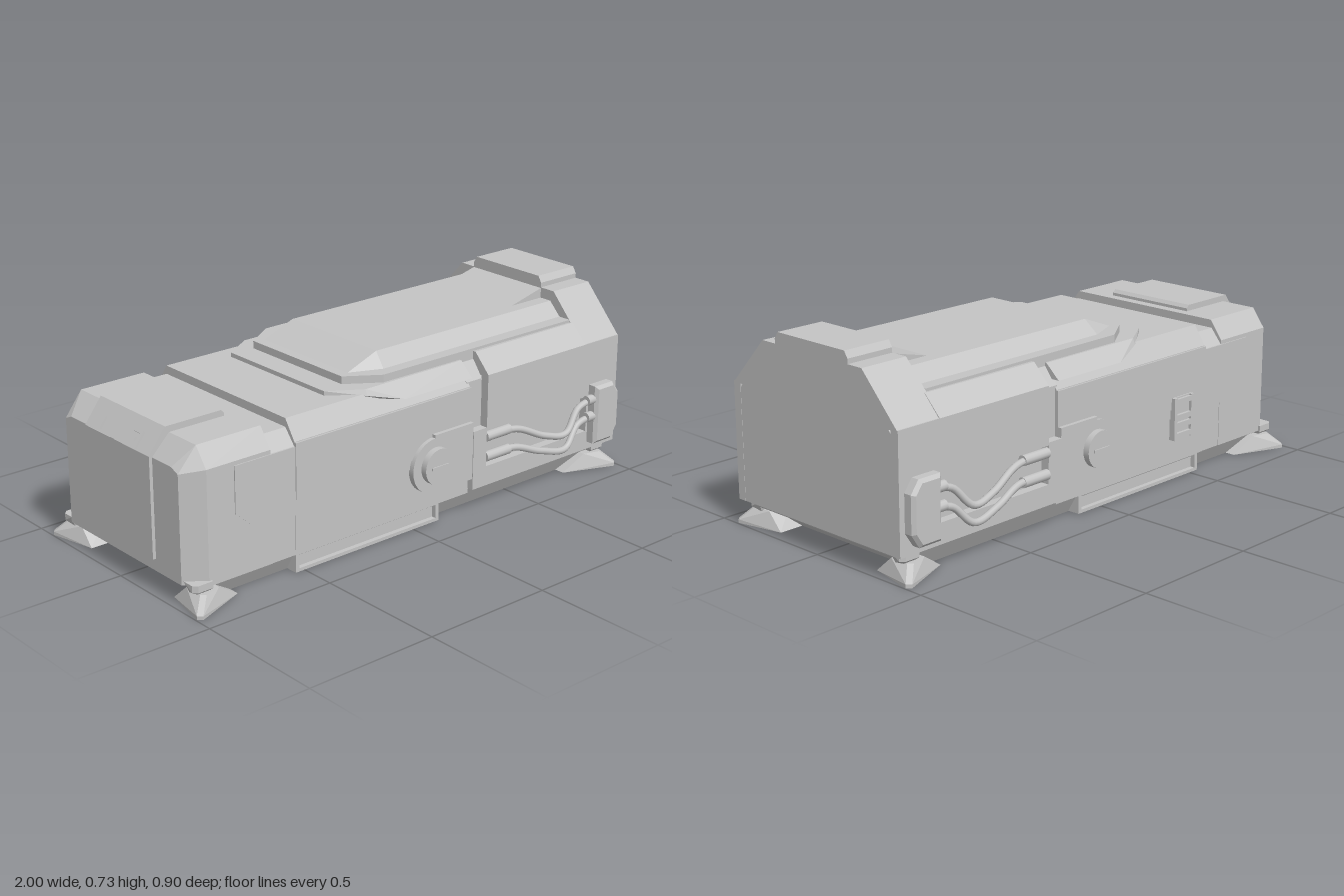
import * as THREE from 'three';
import { ConvexGeometry } from 'three/addons/geometries/ConvexGeometry.js';

export function createModel() {
  const root = new THREE.Group();
  const grey = new THREE.MeshStandardMaterial({ color: 0xc4c4c4 });
  grey.name = 'light grey';

  function add(name, geometry, x = 0, y = 0, z = 0) {
    const mesh = new THREE.Mesh(geometry, grey);
    mesh.name = name;
    mesh.position.set(x, y, z);
    root.add(mesh);
    return mesh;
  }
  const box = (name, x0, x1, y0, y1, z0, z1) =>
    add(name, new THREE.BoxGeometry(x1 - x0, y1 - y0, z1 - z0), (x0 + x1) / 2, (y0 + y1) / 2, (z0 + z1) / 2);

  // Convex solid from points [x, y, z], mirrored across z
  const hull = (name, points) =>
    add(name, new ConvexGeometry(points.flatMap(([x, y, z]) => [new THREE.Vector3(x, y, z), new THREE.Vector3(x, y, -z)])));

  // Cross-section with chamfered shoulders
  const section = (x, yb, w, ys, wt, yt) => [[x, yb, w], [x, ys, w], [x, yt, wt]];

  // Outline in x-y, extruded outward on both long sides
  const outline = (points) => new THREE.Shape(points.map(([x, y]) => new THREE.Vector2(x, y)));
  function sidePlates(name, shape, z0, z1, bevel = 0) {
    const depth = z1 - z0 - bevel;
    for (const s of [1, -1]) {
      const g = new THREE.ExtrudeGeometry(shape, {
        depth, bevelEnabled: bevel > 0, bevelThickness: bevel, bevelSize: bevel,
        bevelOffset: -bevel, bevelSegments: 1, curveSegments: 24,
      });
      add(name, g, 0, 0, s > 0 ? z0 : -z0 - depth);
    }
  }

  // Base with sloping sides
  hull('base', [[-0.95, 0.085, 0.37], [0.96, 0.085, 0.37], [-0.85, 0, 0.32], [0.86, 0, 0.32]]);
  hull('rearUnderside', [[0.25, 0.075, 0.36], [0.97, 0.075, 0.36], [0.25, 0.1, 0.38], [0.985, 0.1, 0.38]]);

  // Framed skirt boxes in the middle of the base
  box('skirtBox', -0.54, 0.12, 0.002, 0.08, -0.352, 0.352);
  for (const s of [1, -1]) {
    const a = s > 0 ? 0.35 : -0.37, b = a + 0.02;
    box('skirtRim', -0.54, 0.12, 0.066, 0.08, a, b);
    box('skirtRim', -0.54, 0.12, 0.002, 0.014, a, b);
    box('skirtRim', -0.54, -0.525, 0.014, 0.066, a, b);
    box('skirtRim', 0.105, 0.12, 0.014, 0.066, a, b);
  }

  // Splayed feet and the blocks above them
  for (const sx of [1, -1]) for (const sz of [1, -1]) {
    const foot = [
      [0.995, 0, 0.425], [0.98, 0, 0.44], [0.78, 0, 0.36], [0.955, 0, 0.245], [0.78, 0, 0.245],
      [0.995, 0.013, 0.425], [0.98, 0.013, 0.44],
      [0.95, 0.06, 0.31], [0.95, 0.06, 0.385], [0.935, 0.06, 0.4], [0.87, 0.06, 0.38], [0.87, 0.06, 0.3],
    ];
    add('foot', new ConvexGeometry(foot.map(([x, y, z]) => new THREE.Vector3(sx * x, y, sz * z))));
    const block = [
      [0.9, 0.095, 0.33], [0.975, 0.095, 0.33], [0.975, 0.095, 0.375], [0.96, 0.095, 0.39], [0.9, 0.095, 0.39],
      [0.975, 0.07, 0.375], [0.96, 0.07, 0.39], [0.9, 0.07, 0.39],
      [0.91, 0.055, 0.34], [0.96, 0.055, 0.34], [0.95, 0.055, 0.372], [0.91, 0.055, 0.372],
    ];
    add('footBlock', new ConvexGeometry(block.map(([x, y, z]) => new THREE.Vector3(sx * x, y, sz * z))));
  }

  // Body: nose, groove, middle and rear core
  hull('nose', [
    ...section(-0.98, 0.08, 0.325, 0.47, 0.29, 0.485),
    ...section(-0.91, 0.075, 0.382, 0.485, 0.33, 0.555),
    ...section(-0.65, 0.075, 0.382, 0.485, 0.33, 0.555),
  ]);
  hull('bodyGroove', [...section(-0.66, 0.075, 0.38, 0.47, 0.335, 0.525), ...section(-0.54, 0.075, 0.38, 0.47, 0.335, 0.525)]);
  hull('middleBody', [...section(-0.55, 0.075, 0.382, 0.485, 0.335, 0.556), ...section(0.25, 0.075, 0.382, 0.485, 0.335, 0.556)]);
  hull('rearCore', [...section(0.24, 0.095, 0.375, 0.5, 0.33, 0.56), ...section(0.999, 0.095, 0.375, 0.5, 0.33, 0.56)]);

  // Stepped side panels
  sidePlates('lowerSidePanel', outline([[-0.8, 0.47], [-0.8, 0.3], [-0.735, 0.245], [0.25, 0.245], [0.25, 0.47]]), 0.37, 0.386);
  sidePlates('upperSidePanel', outline([[-0.55, 0.483], [-0.55, 0.28], [0.25, 0.28], [0.25, 0.483]]), 0.37, 0.39);

  // Rear shell sides with a cable recess
  const shell = outline([[0.25, 0.095], [1, 0.095], [1, 0.52], [0.315, 0.52], [0.315, 0.32], [0.25, 0.32]]);
  shell.holes.push(outline([[0.315, 0.17], [0.315, 0.31], [0.84, 0.31], [0.84, 0.17]]));
  sidePlates('rearShellSide', shell, 0.374, 0.408);

  // Rear shoulders and the taller end hump
  hull('rearShoulder', [[0.315, 0.51, 0.408], [0.315, 0.52, 0.408], [0.315, 0.59, 0.34],
    [0.82, 0.51, 0.408], [0.82, 0.52, 0.408], [0.82, 0.59, 0.34]]);
  hull('endHump', [[0.81, 0.515, 0.408], [0.81, 0.69, 0.245], [1, 0.515, 0.408], [1, 0.69, 0.245]]);
  hull('endRidge', [0.81, 1].flatMap((x) => [[x, 0.68, 0.18], [x, 0.708, 0.18], [x, 0.732, 0.165]]));
  hull('humpRamp', [[0.65, 0.648, 0.18], [0.82, 0.648, 0.18], [0.82, 0.69, 0.18]]);

  // Layered lid
  hull('lidSkirt', [[-0.32, 0.55, 0.26], [-0.32, 0.572, 0.26], [-0.2, 0.572, 0.335], [-0.2, 0.55, 0.345],
    [-0.07, 0.52, 0.392], [0.25, 0.52, 0.392], [0.25, 0.572, 0.335]]);
  hull('lidPlate', [0.56, 0.6].flatMap((y) => [[-0.23, y, 0.245], [-0.11, y, 0.325], [0.81, y, 0.332]]));
  hull('lidRidge', [[-0.19, 0.6, 0.23], [-0.07, 0.6, 0.28], [0.815, 0.6, 0.28], [-0.06, 0.65, 0.23], [0.815, 0.65, 0.23]]);

  // Nose hatch, bent over the end
  const hatch = outline([[-0.992, 0.125], [-0.992, 0.49], [-0.925, 0.578], [-0.7, 0.578], [-0.688, 0.566], [-0.688, 0.53], [-0.9, 0.53], [-0.95, 0.46], [-0.95, 0.125]]);
  const hatchGeometry = new THREE.ExtrudeGeometry(hatch, { depth: 0.37, bevelEnabled: false });
  add('noseHatch', hatchGeometry, 0, 0, -0.185);

  // Framed handle on the slope of the hatch
  const handle = new THREE.Group();
  handle.name = 'hatchHandle';
  for (const [y, z, h, w] of [[0.027, 0, 0.01, 0.22], [-0.027, 0, 0.01, 0.22], [0, 0.105, 0.054, 0.01], [0, -0.105, 0.054, 0.01], [0, 0, 0.012, 0.17]]) {
    const bar = new THREE.Mesh(new THREE.BoxGeometry(0.016, h, w), grey);
    bar.name = 'handleBar';
    bar.position.set(0, y, z);
    handle.add(bar);
  }
  handle.position.set(-0.97, 0.515, 0);
  handle.rotation.z = -0.65;
  root.add(handle);

  // Round hub with its tab
  const tab = new THREE.Shape();
  tab.moveTo(0.25, 0.125);
  tab.lineTo(0.25, 0.355);
  tab.lineTo(0.065, 0.355);
  tab.absarc(0.065, 0.24, 0.103, Math.PI / 2, Math.PI * 1.5, false);
  tab.lineTo(0.25, 0.137);
  sidePlates('hubTab', tab, 0.375, 0.405);
  for (const s of [1, -1]) {
    const disc = add('hubDisc', new THREE.CylinderGeometry(0.068, 0.068, 0.05, 32), 0.068, 0.242, s * 0.404);
    disc.rotation.x = Math.PI / 2;
    box('hubSlot', 0.028, 0.108, 0.237, 0.247, s * 0.43 - 0.003, s * 0.43 + 0.003);
  }

  // Cable sockets, cables and the chamfered connector block
  const cables = [
    [[0.32, 0.283, 0.4], [0.47, 0.275, 0.405], [0.6, 0.22, 0.425], [0.7, 0.205, 0.436], [0.78, 0.28, 0.42], [0.86, 0.302, 0.425]],
    [[0.32, 0.205, 0.4], [0.46, 0.205, 0.405], [0.58, 0.165, 0.425], [0.7, 0.145, 0.436], [0.78, 0.215, 0.42], [0.86, 0.235, 0.425]],
  ];
  for (const s of [1, -1]) for (const path of cables) {
    const curve = new THREE.CatmullRomCurve3(path.map(([x, y, z]) => new THREE.Vector3(x, y, s * z)));
    add('cable', new THREE.TubeGeometry(curve, 40, 0.013, 10));
    for (const [p, length] of [[path[0], 0.12], [path[5], 0.06]]) {
      const socket = add('cableSocket', new THREE.CylinderGeometry(0.019, 0.019, length, 12), p[0] + (length > 0.1 ? 0.055 : -0.01), p[1], s * p[2]);
      socket.rotation.z = Math.PI / 2;
    }
  }
  sidePlates('connectorBlock', outline([[0.85, 0.125], [0.945, 0.125], [0.978, 0.175], [0.978, 0.31], [0.945, 0.355], [0.85, 0.355]]), 0.4, 0.45, 0.012);

  // Ribbed latch on the back side only
  box('latchPlate', -0.468, -0.358, 0.165, 0.325, -0.395, -0.38);
  for (const x of [-0.46, -0.366]) box('latchRail', x - 0.008, x + 0.008, 0.165, 0.325, -0.406, -0.39);
  for (const y of [0.18, 0.22, 0.25, 0.31]) box('latchRib', -0.455, -0.371, y - 0.01, y + 0.01, -0.406, -0.39);

  return root;
}
